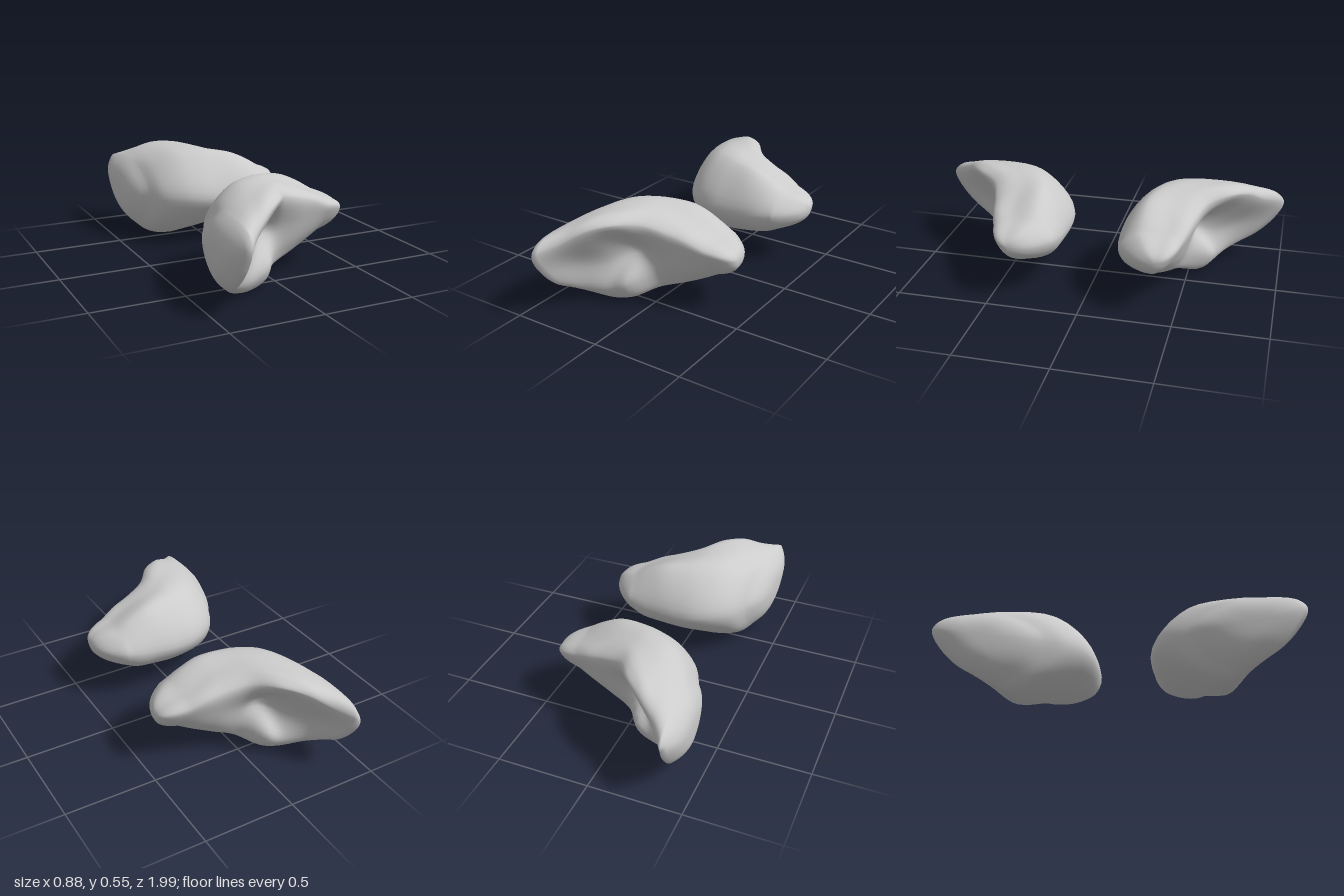
import * as THREE from 'three';

// Cross-sections of one lobe at these x stations. Each row is (z, y) pairs going round:
// front lip, upper lip, top, top back, back, lower back, keel, lower knob, hollow.
const stations = [-0.37, -0.3, -0.2, -0.1, 0, 0.12, 0.22, 0.31];
const sections = [
  [0.995, 0.365, 0.95, 0.42, 0.8, 0.45, 0.59, 0.435, 0.4, 0.3, 0.455, 0.16, 0.62, 0.072, 0.8, 0.12, 0.94, 0.25],
  [0.89, 0.4, 0.865, 0.455, 0.75, 0.493, 0.46, 0.465, 0.288, 0.3, 0.37, 0.13, 0.59, 0.018, 0.7, 0.08, 0.755, 0.24],
  [0.815, 0.465, 0.775, 0.515, 0.64, 0.532, 0.38, 0.51, 0.2, 0.3, 0.32, 0.12, 0.57, 0, 0.645, 0.075, 0.635, 0.25],
  [0.73, 0.495, 0.67, 0.533, 0.55, 0.543, 0.33, 0.522, 0.16, 0.29, 0.3, 0.12, 0.55, 0.025, 0.625, 0.13, 0.53, 0.3],
  [0.61, 0.475, 0.56, 0.515, 0.45, 0.53, 0.3, 0.522, 0.15, 0.29, 0.25, 0.15, 0.46, 0.072, 0.505, 0.15, 0.53, 0.3],
  [0.56, 0.44, 0.52, 0.475, 0.42, 0.495, 0.28, 0.51, 0.152, 0.3, 0.22, 0.18, 0.41, 0.11, 0.48, 0.18, 0.53, 0.31],
  [0.535, 0.41, 0.505, 0.44, 0.42, 0.45, 0.28, 0.47, 0.16, 0.31, 0.21, 0.2, 0.38, 0.15, 0.46, 0.21, 0.515, 0.32],
  [0.505, 0.37, 0.475, 0.4, 0.4, 0.41, 0.28, 0.415, 0.18, 0.32, 0.22, 0.235, 0.36, 0.195, 0.43, 0.235, 0.485, 0.31],
];
const ALONG = 32, AROUND = 54, DOME = 9;

// The first section leans, so that its front lip reaches further out than its back
const stationX = (i, z) => stations[i] - (i === 0 ? 0.05 * (z - 0.7) : 0);

// Rings that shrink towards a pole to round off an end; a higher power is blunter
function domeRings(ring, pole, power) {
  const centre = ring.reduce((sum, p) => sum.add(p), new THREE.Vector3()).divideScalar(ring.length);
  const rings = [];
  for (let k = 1; k < DOME; k++) {
    const scale = 1 - k / DOME;
    const middle = centre.clone().lerp(pole, 1 - scale ** power);
    rings.push(ring.map((p) => p.clone().sub(centre).multiplyScalar(scale).add(middle)));
  }
  return rings;
}

// Smooth skin through the cross-sections; side = -1 mirrors it to the far side
function lobeGeometry(side) {
  const rails = [];
  for (let j = 0; j < sections[0].length; j += 2) {
    rails.push(new THREE.CatmullRomCurve3(
      sections.map((s, i) => new THREE.Vector3(stationX(i, s[j]), s[j + 1], s[j]))));
  }
  const body = [];
  for (let i = 0; i <= ALONG; i++) {
    const loop = new THREE.CatmullRomCurve3(rails.map((r) => r.getPoint(i / ALONG)), true);
    body.push(loop.getPoints(AROUND).slice(0, AROUND));
  }
  const startPole = new THREE.Vector3(-0.442, 0.28, 0.72);
  const endPole = new THREE.Vector3(0.438, 0.317, 0.39);
  const rings = [
    ...domeRings(body[0], startPole, 3).reverse(),
    ...body,
    ...domeRings(body[ALONG], endPole, 2.5),
  ];
  const points = [...rings.flat(), startPole, endPole];

  const index = [];
  const face = (a, b, c) => (side > 0 ? index.push(a, b, c) : index.push(a, c, b));
  const last = (rings.length - 1) * AROUND;
  const poleIndex = rings.length * AROUND;
  for (let j = 0; j < AROUND; j++) {
    const n = (j + 1) % AROUND;
    for (let i = 0; i < last; i += AROUND) {
      face(i + j, i + AROUND + j, i + n);
      face(i + n, i + AROUND + j, i + AROUND + n);
    }
    face(poleIndex, j, n);
    face(poleIndex + 1, last + n, last + j);
  }
  points.forEach((p) => { p.z *= side; });
  const geometry = new THREE.BufferGeometry().setFromPoints(points);
  geometry.setIndex(index);
  geometry.computeVertexNormals();
  return geometry;
}

export function createModel() {
  const model = new THREE.Group();
  model.name = 'pairedLobes';
  const material = new THREE.MeshStandardMaterial({ color: 0xcccccc });
  for (const [name, side] of [['frontLobe', 1], ['backLobe', -1]]) {
    const lobe = new THREE.Mesh(lobeGeometry(side), material);
    lobe.name = name;
    model.add(lobe);
  }
  return model;
}
